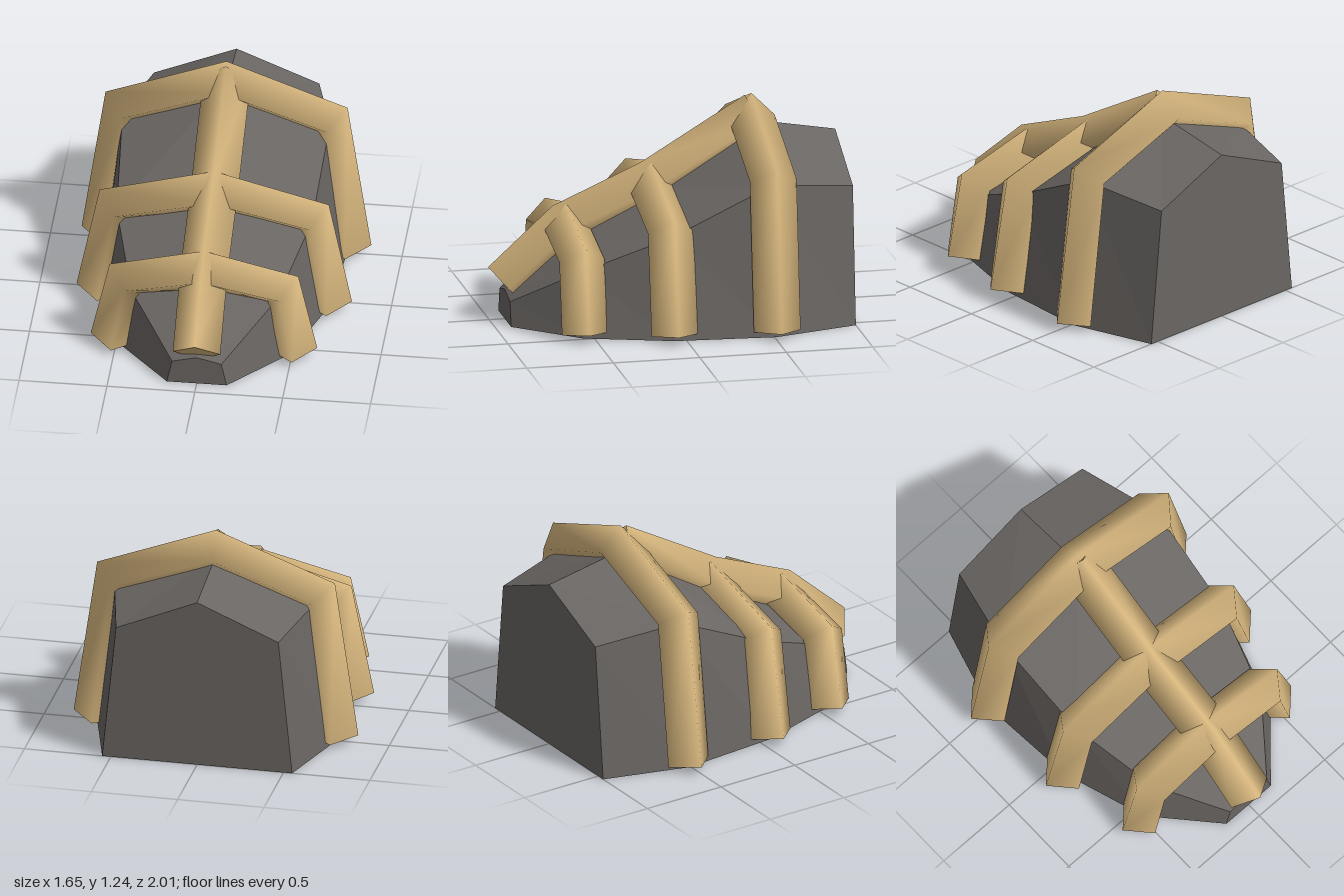
import * as THREE from 'three';

const tan = new THREE.MeshStandardMaterial({ color: 0xd4b47c });
tan.name = 'tan';
const darkGrey = new THREE.MeshStandardMaterial({ color: 0x6a6663, flatShading: true });
darkGrey.name = 'darkGrey';

// Skins a list of equal-sized rings (counter-clockwise seen from the far end) and caps both ends.
function loft(rings) {
  const n = rings[0].length;
  const last = rings.length - 1;
  // end rings are repeated so the caps keep their own normals
  const points = [...rings, rings[0], rings[last]].flat();
  const index = [];
  for (let i = 0; i < last; i++) {
    for (let j = 0; j < n; j++) {
      const k = (j + 1) % n;
      const a = i * n + j, b = i * n + k, c = b + n, d = a + n;
      index.push(a, b, c, a, c, d);
    }
  }
  const start = (last + 1) * n, end = start + n;
  for (let j = 1; j < n - 1; j++) {
    index.push(start, start + j + 1, start + j);
    index.push(end, end + j, end + j + 1);
  }
  const geometry = new THREE.BufferGeometry().setFromPoints(points);
  geometry.setIndex(index);
  geometry.computeVertexNormals();
  return geometry;
}

// Four-sided smooth bar along a path; "side" is the constant direction across the path's plane.
function bar(name, path, side, radius) {
  const rings = path.map((p, i) => {
    const tangent = new THREE.Vector3();
    if (i > 0) tangent.add(p.clone().sub(path[i - 1]).normalize());
    if (i < path.length - 1) tangent.add(path[i + 1].clone().sub(p).normalize());
    tangent.normalize();
    const normal = new THREE.Vector3().crossVectors(side, tangent);
    return [normal, side, normal.clone().negate(), side.clone().negate()]
      .map((d) => p.clone().addScaledVector(d, radius));
  });
  const mesh = new THREE.Mesh(loft(rings), tan);
  mesh.name = name;
  return mesh;
}

const v = (x, y, z) => new THREE.Vector3(x, y, z);

export function createModel() {
  const group = new THREE.Group();
  group.name = 'ribbedShell';

  // Body sections: z, base half width, shoulder half width, shoulder height, ridge height
  const sections = [
    [-1, 0.55, 0.47, 0.8, 1.0],
    [-0.51, 0.69, 0.59, 0.865, 1.085],
    [0.07, 0.645, 0.555, 0.58, 0.715],
    [0.56, 0.485, 0.415, 0.37, 0.46],
    [0.91, 0.17, 0.14, 0.14, 0.175],
  ];
  const body = new THREE.Mesh(loft(sections.map(([z, b, s, ys, yr]) =>
    [v(b, 0, z), v(s, ys, z), v(0, yr, z), v(-s, ys, z), v(-b, 0, z)])), darkGrey);
  body.name = 'body';
  group.add(body);

  // Arched ribs: name, z, foot x, shoulder x, shoulder y, peak y, radius
  const ribs = [
    ['frontRib', 0.56, 0.515, 0.443, 0.445, 0.535, 0.131],
    ['middleRib', 0.07, 0.652, 0.555, 0.615, 0.748, 0.133],
    ['rearRib', -0.515, 0.69, 0.583, 0.893, 1.105, 0.135],
  ];
  for (const [name, z, fx, sx, sy, py, r] of ribs) {
    group.add(bar(name, [v(fx, 0.036, z), v(sx, sy, z), v(0, py, z), v(-sx, sy, z), v(-fx, 0.036, z)],
      v(0, 0, 1), r));
  }

  // Spine along the ridge, joining the rib peaks
  group.add(bar('spine', [v(0, 0.21, 0.915), v(0, 0.535, 0.56), v(0, 0.748, 0.07), v(0, 1.115, -0.545)],
    v(1, 0, 0), 0.135));

  return group;
}
